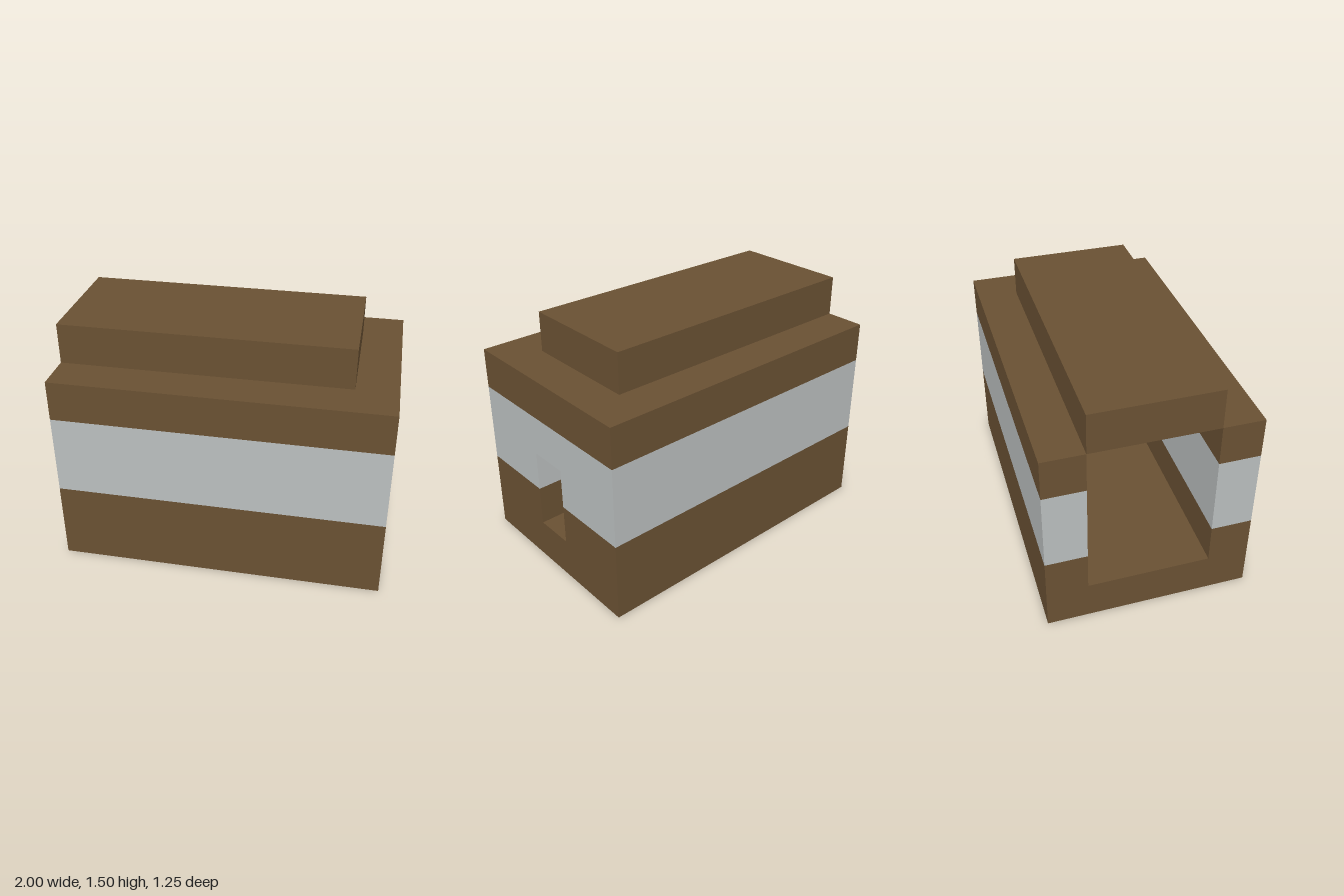
import * as THREE from 'three';

export function createModel() {
  const model = new THREE.Group();
  const brown = new THREE.MeshStandardMaterial({ color: 0x6a5133 });
  brown.name = 'brown';
  const grey = new THREE.MeshStandardMaterial({ color: 0xbbbfbf });
  grey.name = 'lightGrey';

  const add = (name, geometry, material) => {
    const mesh = new THREE.Mesh(geometry, material);
    mesh.name = name;
    model.add(mesh);
  };

  // Upright faces along a counterclockwise plan outline, from y0 to y1
  const walls = (name, outline, y0, y1, material) => {
    const positions = [];
    outline.forEach(([ax, as], i) => {
      const [bx, bs] = outline[(i + 1) % outline.length];
      positions.push(ax, y0, -as, bx, y0, -bs, bx, y1, -bs);
      positions.push(ax, y0, -as, bx, y1, -bs, ax, y1, -as);
    });
    const geometry = new THREE.BufferGeometry();
    geometry.setAttribute('position', new THREE.Float32BufferAttribute(positions, 3));
    geometry.computeVertexNormals();
    add(name, geometry, material);
  };

  // Level face of a plan outline, facing up or down
  const level = (name, outline, y, up, material) => {
    const shape = new THREE.Shape(outline.map(([x, s]) => new THREE.Vector2(x, s)));
    const geometry = new THREE.ShapeGeometry(shape);
    geometry.rotateX(up ? -Math.PI / 2 : Math.PI / 2).translate(0, y, 0);
    add(name, geometry, material);
  };

  const rect = (x0, x1, s) => [[x0, -s], [x1, -s], [x1, s], [x0, s]];
  const mirror = (outline) => outline.map(([x, s]) => [x, -s]).reverse();

  // Plan outlines: whole block, U-shaped wall, half wall beside the slot, floor
  const block = rect(-1, 1, 0.625);
  const uWall = [...block, [-1, 0.375], [0.75, 0.375], [0.75, -0.375], [-1, -0.375]];
  const halfWall = [[-1, -0.625], [1, -0.625], [1, -0.125], [0.75, -0.125], [0.75, -0.375], [-1, -0.375]];
  const floor = [[-1, -0.375], [0.75, -0.375], [0.75, -0.125], [1, -0.125],
    [1, 0.125], [0.75, 0.125], [0.75, 0.375], [-1, 0.375]];

  // Base slab and inner floor
  level('baseUnderside', block, 0, false, brown);
  walls('baseSides', block, 0, 0.25, brown);
  level('innerFloor', floor, 0.25, true, brown);

  // Walls on either side of the slot
  for (const [side, outline] of [['left', mirror(halfWall)], ['right', halfWall]]) {
    walls(side + 'LowerWall', outline, 0.25, 0.5, brown);
    walls(side + 'GreyWall', outline, 0.5, 0.75, grey);
  }

  // Walls above the slot
  level('slotLintel', rect(0.75, 1, 0.125), 0.75, false, grey);
  walls('upperGreyWall', uWall, 0.75, 1, grey);
  walls('topWall', uWall, 1, 1.25, brown);
  level('wallTop', uWall, 1.25, true, brown);

  // Raised lid covering the cavity
  const lid = new THREE.BoxGeometry(1.75, 0.25, 0.75).translate(-0.125, 1.375, 0);
  add('lid', lid, brown);

  return model;
}
